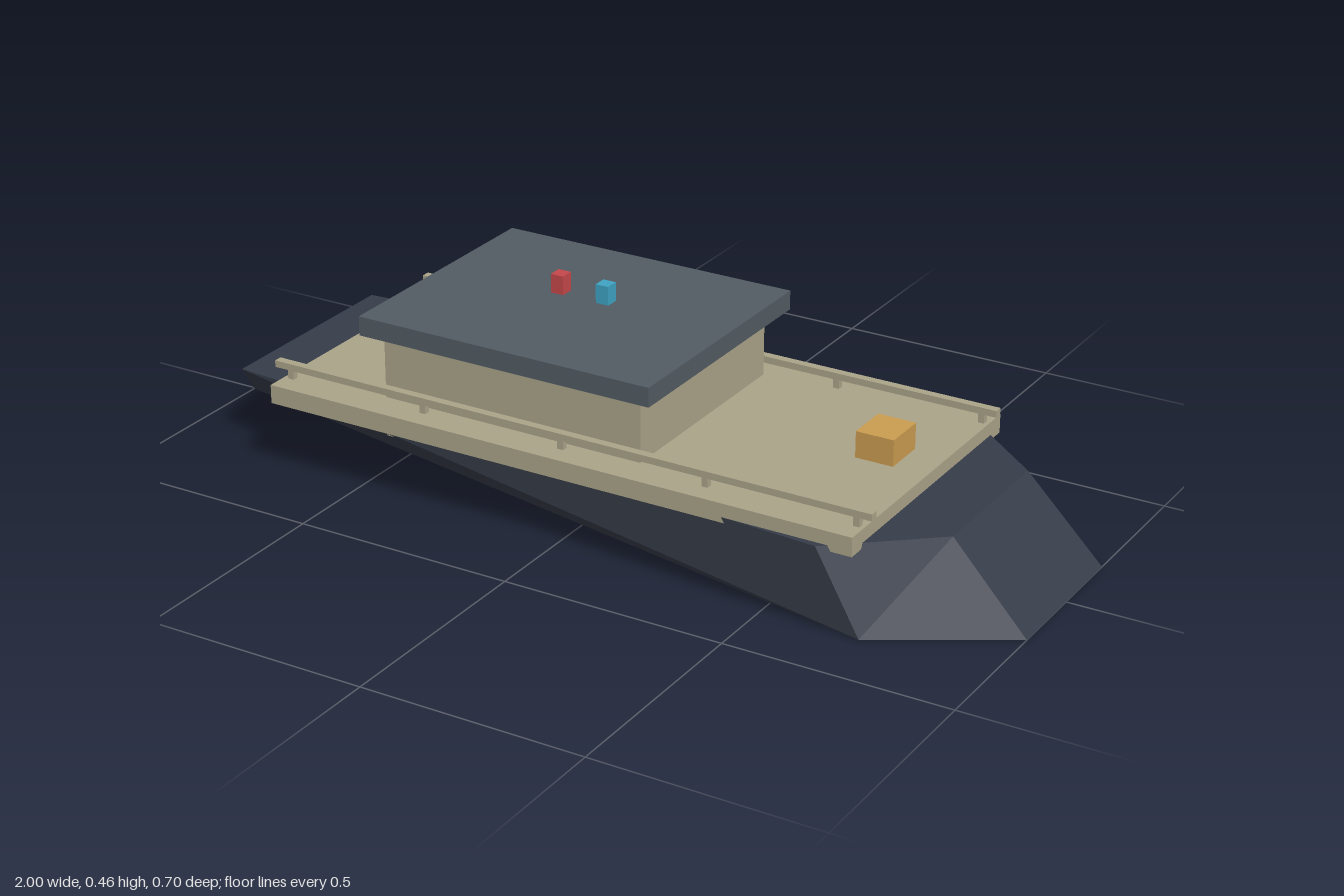
import * as THREE from 'three';

const paint = (name, color) => {
  const m = new THREE.MeshStandardMaterial({ color });
  m.name = name;
  return m;
};

// Low hull: wedge bow at -x, blunt raked end at +x, flat bottom
function hullGeometry() {
  const H = 0.177;
  const points = [
    [-0.84, H, 0.243], [0.62, H, 0.347], [0.83, H, 0.172],    // 0-2 top, +z side
    [0.83, H, -0.172], [0.62, H, -0.347], [-0.84, H, -0.243], // 3-5 top, -z side
    [-1, 0, 0],                                               // 6 bow tip
    [0.72, 0, 0.347], [1, 0, 0.18],                           // 7-8 bottom, +z side
    [1, 0, -0.18], [0.72, 0, -0.347],                         // 9-10 bottom, -z side
  ];
  const polygons = [
    [0, 1, 2, 3, 4, 5], [6, 10, 9, 8, 7],               // top and bottom
    [6, 7, 0], [7, 1, 0], [7, 8, 2, 1],                 // +z side
    [6, 5, 10], [10, 5, 4], [10, 4, 3, 9],              // -z side
    [8, 9, 3, 2], [6, 0, 5],                            // two ends
  ];
  const positions = [];
  for (const p of polygons)
    for (let i = 1; i < p.length - 1; i++)
      positions.push(...points[p[0]], ...points[p[i]], ...points[p[i + 1]]);
  const g = new THREE.BufferGeometry();
  g.setAttribute('position', new THREE.Float32BufferAttribute(positions, 3));
  g.computeVertexNormals();
  return g;
}

export function createModel() {
  const model = new THREE.Group();
  model.name = 'barge';

  const navy = paint('hull navy', 0x363c49);
  const tan = paint('deck tan', 0xaaa389);
  const slate = paint('roof slate', 0x525c63);
  const amber = paint('crate amber', 0xca9c50);
  const red = paint('lamp red', 0xc4474b);
  const blue = paint('lamp blue', 0x3fa2c3);

  // Box given by its extents along x and y, and by its centre and depth along z
  const box = (name, material, [x0, x1], [y0, y1], z, depth) => {
    const mesh = new THREE.Mesh(new THREE.BoxGeometry(x1 - x0, y1 - y0, depth), material);
    mesh.position.set((x0 + x1) / 2, (y0 + y1) / 2, z);
    mesh.name = name;
    model.add(mesh);
  };

  const hull = new THREE.Mesh(hullGeometry(), navy);
  hull.name = 'hull';
  model.add(hull);

  // Deck, cabin and roof
  box('deck', tan, [-0.695, 0.692], [0.165, 0.207], 0, 0.663);
  box('cabin', tan, [-0.45, 0.172], [0.118, 0.354], 0, 0.511);
  box('roof', slate, [-0.487, 0.213], [0.353, 0.396], 0, 0.584);

  // Railings along both sides
  for (const side of [-1, 1]) {
    const z = side * 0.278;
    box('rail', tan, [-0.714, 0.711], [0.228, 0.243], z, 0.019);
    for (let i = -2; i <= 2; i++) {
      const x = i * 0.338;
      box('railPost', tan, [x - 0.007, x + 0.007], [0.16, 0.23], z, 0.014);
    }
  }

  // Cabin windows and boarding plank on the back side
  for (const x of [-0.315, -0.14, 0.035])
    box('window', slate, [x - 0.02, x + 0.02], [0.225, 0.274], -0.26, 0.009);
  box('boardingPlank', tan, [-0.357, 0.08], [0.19, 0.222], -0.35, 0.008);

  // Crate and roof lamps
  box('crate', amber, [0.55, 0.635], [0.228, 0.286], 0, 0.098);
  box('redLamp', red, [-0.19, -0.16], [0.415, 0.457], 0, 0.031);
  box('blueLamp', blue, [-0.08, -0.05], [0.415, 0.457], 0, 0.031);

  for (const part of model.children) part.position.z += 0.0035;
  return model;
}
